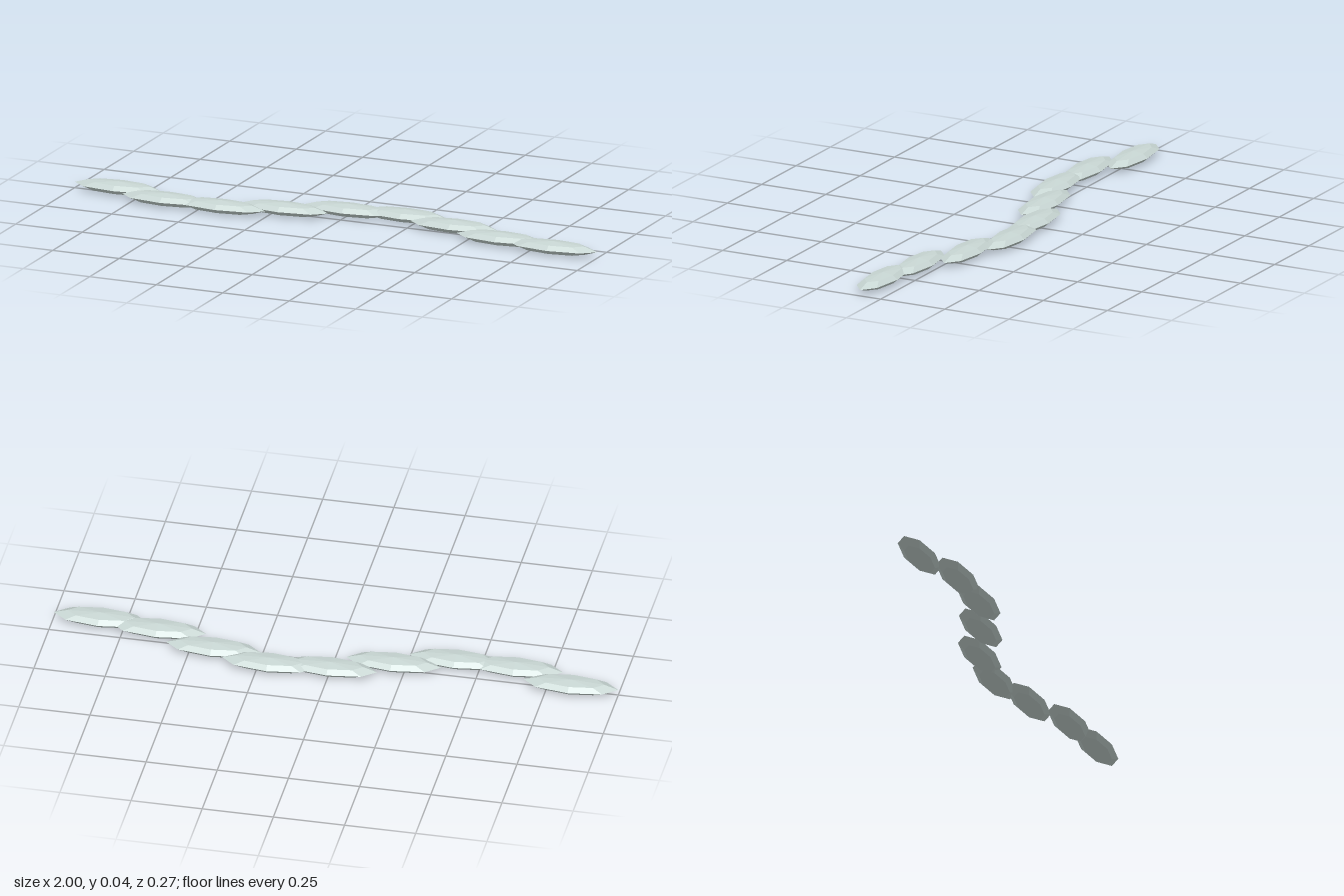
import * as THREE from 'three';

// A winding row of flattened, faceted stones
export function createModel() {
  const model = new THREE.Group();
  model.name = 'stoneRow';

  const count = 9, spacing = 0.2085;
  const radius = { x: 0.166, y: 0.021, z: 0.056 };
  const material = new THREE.MeshStandardMaterial({ color: 0xc8d6d3, flatShading: true });

  // One low-poly ellipsoid shared by every stone
  const geometry = new THREE.SphereGeometry(1, 8, 4);
  geometry.scale(radius.x, radius.y, radius.z);

  // Evenly spaced along x, swaying in z along a sine wave
  for (let i = 0; i < count; i++) {
    const stone = new THREE.Mesh(geometry, material);
    stone.name = `stone${i + 1}`;
    stone.position.set((i - (count - 1) / 2) * spacing, radius.y, 0.082 * Math.sin(i) - 0.001);
    model.add(stone);
  }
  return model;
}
